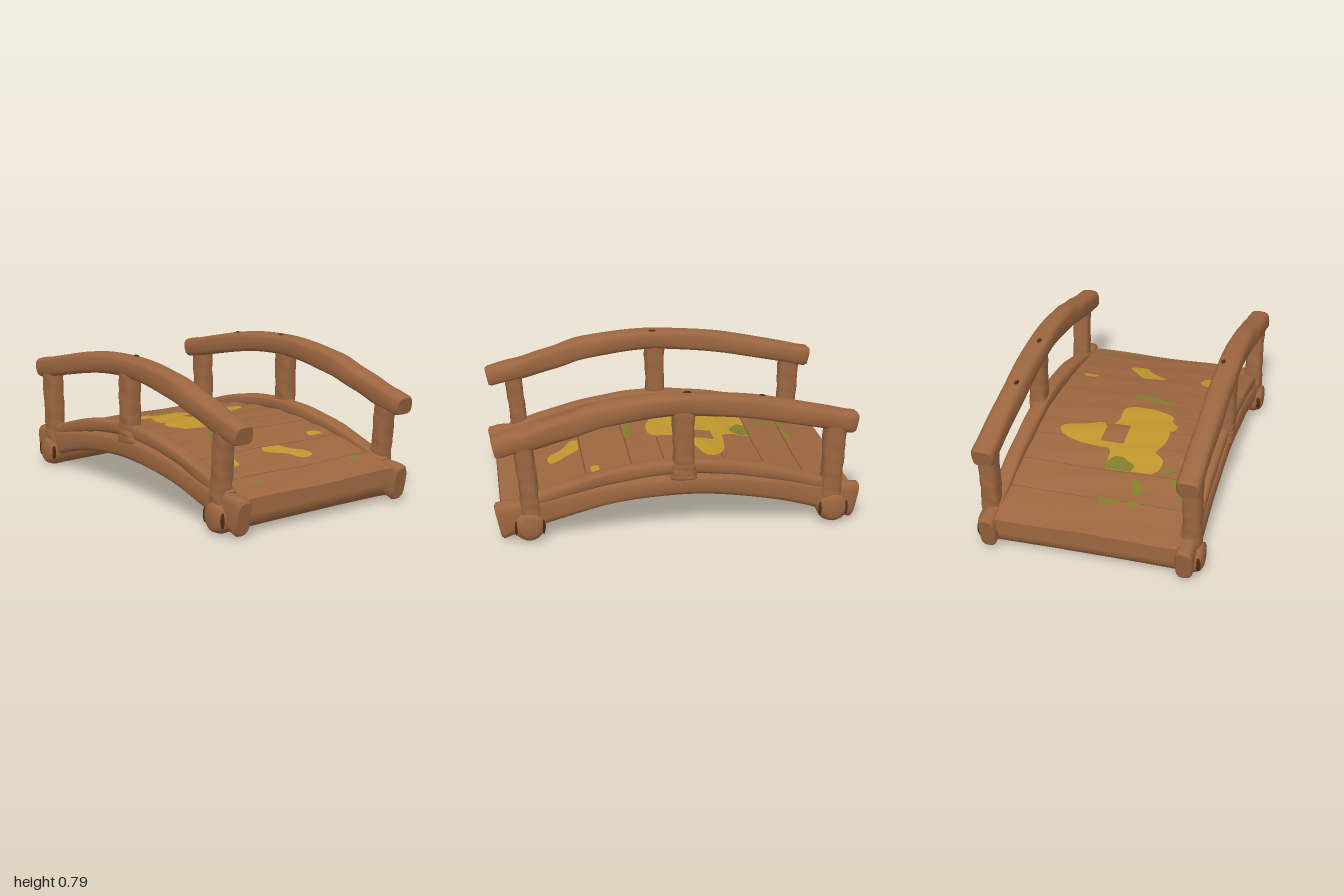
import * as THREE from 'three';

const paint = (name, color) => Object.assign(new THREE.MeshStandardMaterial({ color }), { name });

// Height of the walking surface: a shallow arch with worn, wavy boards
const deckY = (x, z) => 0.345 - 0.2 * z * z + 0.045 * z ** 4
  + 0.003 * Math.sin(31 * z + 2 * Math.sin(4 * x)) + 0.002 * Math.sin(9 * x + 5 * z);

// Timber swept along [z, y, halfHeight] points, with a soft squarish section and worn ends
function timber(points, halfWidth, steps = 28, sides = 16) {
  const curve = new THREE.CatmullRomCurve3(points.map(p => new THREE.Vector3(...p)));
  const pos = [], index = [];
  const soft = v => Math.sign(v) * Math.pow(Math.abs(v), 0.62);
  for (let i = 0; i <= steps; i++) {
    const end = i === 0 || i === steps;
    const t = i === 0 ? 0 : i === steps ? 1 : 0.012 + 0.976 * (i - 1) / (steps - 2);
    const p = curve.getPoint(t), d = curve.getTangent(t);
    const len = Math.hypot(d.x, d.y), tz = d.x / len, ty = d.y / len;
    for (let j = 0; j < sides; j++) {
      const a = j / sides * Math.PI * 2;
      const k = (end ? 0.86 : 1) * (1 + 0.03 * Math.sin(17 * t + 3 * a) + 0.02 * Math.sin(41 * t + a));
      const w = halfWidth * k * soft(Math.cos(a)), h = p.z * k * soft(Math.sin(a));
      pos.push(w, p.y + tz * h, p.x - ty * h);
    }
  }
  for (let i = 0; i < steps; i++) for (let j = 0; j < sides; j++) {
    const a = i * sides + j, b = i * sides + (j + 1) % sides;
    index.push(a, b, a + sides, b, b + sides, a + sides);
  }
  // flat end caps
  for (const [t, ring, flip] of [[0, 0, true], [1, steps, false]]) {
    const p = curve.getPoint(t), base = pos.length / 3;
    for (let j = 0; j < sides; j++) pos.push(...pos.slice((ring * sides + j) * 3, (ring * sides + j) * 3 + 3));
    pos.push(0, p.y, p.x);
    for (let j = 0; j < sides; j++) {
      const a = base + j, b = base + (j + 1) % sides;
      index.push(base + sides, flip ? b : a, flip ? a : b);
    }
  }
  const g = new THREE.BufferGeometry();
  g.setAttribute('position', new THREE.Float32BufferAttribute(pos, 3));
  g.setIndex(index);
  g.computeVertexNormals();
  return g;
}

// One deck board between two seams, bent to the arch; boards meet below and part slightly on top
function plank(z0, z1) {
  const halfLength = 0.54;
  const g = new THREE.BoxGeometry(2, 2, 2, 20, 1, 8), p = g.attributes.position;
  for (let i = 0; i < p.count; i++) {
    const bottom = p.getY(i) < 0, gap = bottom ? 0 : 0.003;
    const x = p.getX(i) * halfLength;
    const z = THREE.MathUtils.mapLinear(p.getZ(i), -1, 1, z0 + gap, z1 - gap);
    p.setXYZ(i, x, deckY(x, z) - (bottom ? 0.072 : 0), z);
  }
  g.computeVertexNormals();
  return g;
}

// Thin patch lying on the deck, outlined by rows of [z, xMin, xMax]
function patch(rows, lift) {
  const curve = new THREE.CatmullRomCurve3(rows.map(r => new THREE.Vector3(...r)));
  const g = new THREE.PlaneGeometry(2, 2, 10, 24).rotateX(-Math.PI / 2), p = g.attributes.position;
  for (let i = 0; i < p.count; i++) {
    const c = curve.getPoint((p.getZ(i) + 1) / 2);
    const x = THREE.MathUtils.mapLinear(p.getX(i), -1, 1, c.y, c.z);
    p.setXYZ(i, x, deckY(x, c.x) + lift, c.x);
  }
  g.computeVertexNormals();
  return g;
}

// Round log with softened ends, lying along x
function log() {
  const half = [[0.62, 0], [0.618, 0.05], [0.605, 0.074], [0.57, 0.088], [0.5, 0.085], [0.2, 0.082]];
  const profile = [...half.map(([l, r]) => [-l, r]), ...half.slice().reverse()];
  return new THREE.LatheGeometry(profile.map(([l, r]) => new THREE.Vector2(r, l)), 20).rotateZ(Math.PI / 2);
}

export function createModel() {
  const wood = paint('brown wood', 0x9c6640);
  const yellow = paint('yellow lichen', 0xbe962c);
  const green = paint('green moss', 0x807d2b);
  const dark = paint('dark knot', 0x4f2a14);
  const model = new THREE.Group();
  model.name = 'archedBridge';
  const add = (name, geometry, material, x = 0, y = 0, z = 0) => {
    const m = new THREE.Mesh(geometry, material);
    m.name = name;
    m.position.set(x, y, z);
    model.add(m);
  };

  // Deck boards
  const seams = [-0.955, -0.7, -0.49, -0.27, -0.11, 0.06, 0.24, 0.49, 0.75, 0.957];
  for (let i = 0; i < seams.length - 1; i++) add('plank', plank(seams[i], seams[i + 1]), wood);

  // Cross logs the bridge rests on
  const logZ = [0.81, -0.84];
  for (const z of logZ) add('crossLog', log(), wood, 0, 0.093, z);

  // Side frames
  const rail = timber([[0.985, 0.541, 0.055], [0.8, 0.582, 0.06], [0.6, 0.638, 0.062], [0.4, 0.692, 0.064],
    [0, 0.73, 0.058], [-0.4, 0.69, 0.06], [-0.8, 0.605, 0.058], [-0.955, 0.574, 0.058]], 0.062, 40);
  const stringer = timber([[0.975, 0.113, 0.102], [0.87, 0.135, 0.094], [0.75, 0.16, 0.074], [0.4, 0.234, 0.059],
    [0, 0.268, 0.058], [-0.4, 0.234, 0.059], [-0.75, 0.16, 0.074], [-0.87, 0.135, 0.094], [-0.975, 0.113, 0.102]], 0.048, 40);
  const kerb = timber([[0.86, 0.2, 0.036], [0.4, 0.328, 0.038], [0, 0.37, 0.038],
    [-0.4, 0.328, 0.038], [-0.86, 0.2, 0.036]], 0.045, 36);
  const posts = [
    timber([[0.795, 0.08, 0.054], [0.81, 0.3, 0.049], [0.835, 0.57, 0.052]], 0.05),
    timber([[-0.02, 0.31, 0.076], [-0.02, 0.42, 0.057], [-0.015, 0.7, 0.062]], 0.05),
    timber([[-0.83, 0.08, 0.056], [-0.835, 0.3, 0.056], [-0.845, 0.59, 0.064]], 0.05),
  ];
  for (const side of [-1, 1]) {
    add('handrail', rail, wood, side * 0.543);
    add('stringer', stringer, wood, side * 0.535);
    add('kerb', kerb, wood, side * 0.53);
    for (const post of posts) add('post', post, wood, side * 0.55);
    // Dark cracks where the logs meet the stringers
    for (const z of logZ) for (const face of [-1, 1]) {
      add('logCrack', new THREE.SphereGeometry(1, 10, 8).scale(0.013, 0.042, 0.008), dark, side * 0.6, 0.093, z + face * 0.073);
    }
  }

  // Lichen and moss on the boards
  const yellowPatches = [
    [[-0.485, -0.24, 0.02], [-0.44, -0.27, 0.03], [-0.36, -0.27, 0.03], [-0.31, -0.22, 0.06], [-0.265, -0.23, 0.11]],
    [[-0.32, 0.02, 0.1], [-0.3, 0.05, 0.24], [-0.26, 0.11, 0.33], [-0.22, 0.11, 0.36], [-0.18, 0.11, 0.345], [-0.14, 0.11, 0.23], [-0.105, 0.13, 0.16]],
    [[-0.27, -0.23, -0.02], [-0.19, -0.25, -0.02], [-0.1, -0.25, -0.02]],
    [[-0.1, -0.27, 0.08], [-0.05, -0.28, 0.06], [0, -0.24, 0.06], [0.05, -0.23, 0.06], [0.08, -0.16, 0.04], [0.1, -0.1, 0]],
    [[0.5, -0.35, -0.31], [0.54, -0.39, -0.28], [0.58, -0.37, -0.28], [0.62, -0.37, -0.29], [0.63, -0.33, -0.31]],
    [[0.5, -0.05, 0.07], [0.54, -0.06, 0.1], [0.58, 0, 0.13], [0.62, 0.05, 0.17], [0.66, 0.07, 0.18], [0.68, 0.1, 0.14]],
    [[0.415, 0.35, 0.4], [0.44, 0.33, 0.42], [0.46, 0.34, 0.42]],
  ];
  const greenPatches = [
    [[-0.485, -0.12, 0.02], [-0.44, -0.13, 0.03], [-0.4, -0.08, 0.01], [-0.38, -0.05, -0.01]],
    [[-0.62, -0.48, -0.42], [-0.56, -0.48, -0.39], [-0.5, -0.47, -0.34]],
    [[-0.74, -0.21, -0.17], [-0.7, -0.23, -0.17]],
    [[-0.74, -0.06, -0.02], [-0.7, -0.13, 0]],
    [[-0.65, -0.21, -0.18], [-0.6, -0.22, -0.16], [-0.54, -0.17, -0.15]],
    [[-0.46, -0.33, -0.3], [-0.41, -0.35, -0.3]],
    [[-0.05, -0.48, -0.42], [0.01, -0.48, -0.4]],
    [[0.18, -0.2, -0.15], [0.21, -0.18, 0.03], [0.24, -0.08, 0.05]],
    [[0.78, -0.36, -0.34], [0.83, -0.34, -0.31]],
    [[0.77, 0.34, 0.38], [0.79, 0.32, 0.39], [0.81, 0.34, 0.38]],
  ];
  for (const rows of yellowPatches) add('lichenPatch', patch(rows, 0.004), yellow);
  for (const rows of greenPatches) add('mossPatch', patch(rows, 0.006), green);

  // Small knots on top of the handrails
  for (const [x, y, z] of [[-0.515, 0.785, 0], [0.53, 0.785, -0.04], [0.525, 0.743, -0.44], [0.525, 0.728, 0.49]]) {
    add('knot', new THREE.SphereGeometry(0.016, 10, 6).scale(0.8, 0.4, 1.4), dark, x, y, z);
  }
  return model;
}
